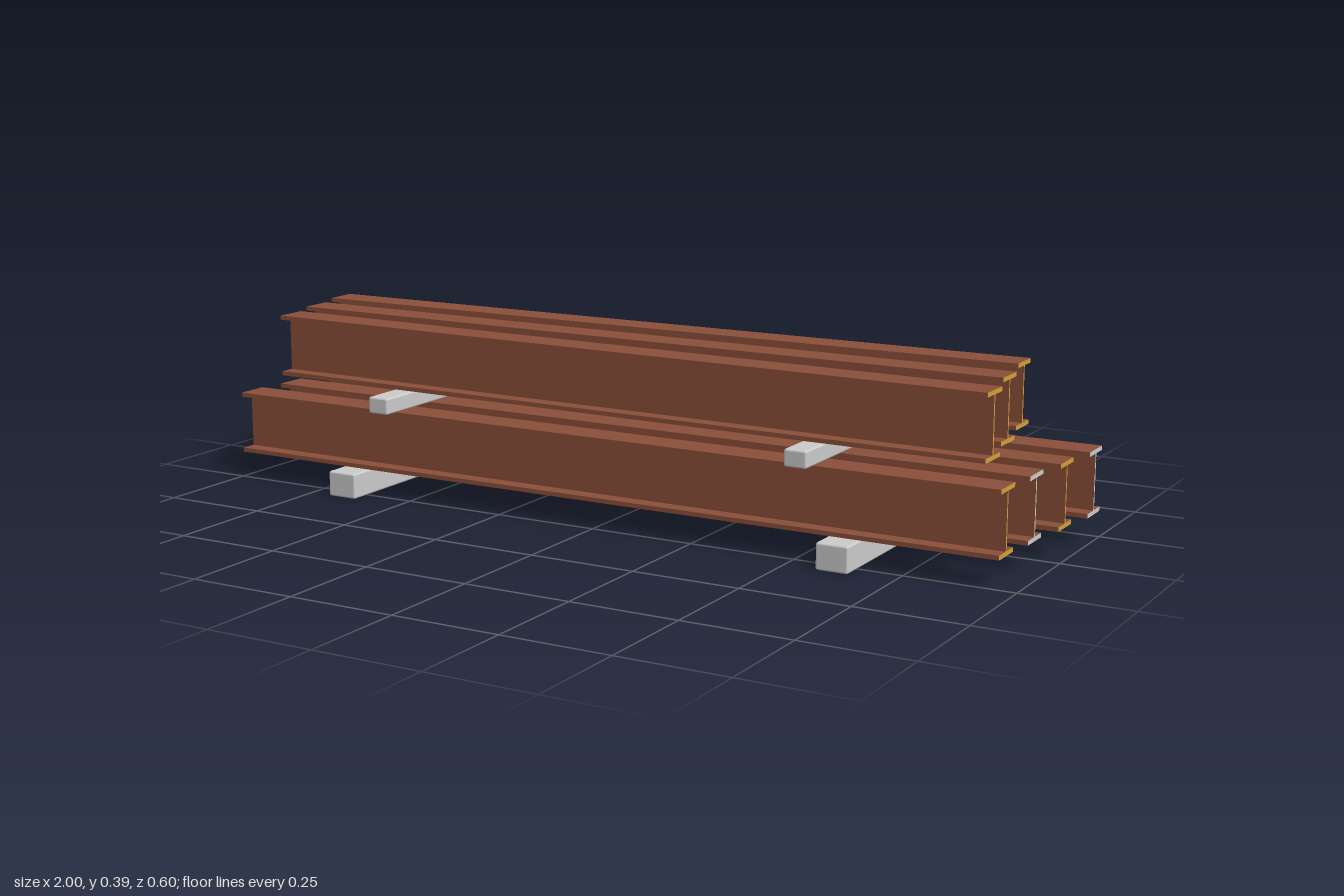
import * as THREE from 'three';
import { RoundedBoxGeometry } from 'three/addons/geometries/RoundedBoxGeometry.js';

const HEIGHT = 0.147, WIDTH = 0.077, FLANGE = 0.01, WEB = 0.005;

const rust = new THREE.MeshStandardMaterial({ color: 0x8b4f3a });
const yellow = new THREE.MeshStandardMaterial({ color: 0xd4a038 });
const grey = new THREE.MeshStandardMaterial({ color: 0xcccccc });

// I-section outline standing on y = 0
function sectionShape() {
  const w = WIDTH / 2, t = WEB / 2, top = HEIGHT - FLANGE;
  const right = [[w, 0], [w, FLANGE], [t, FLANGE], [t, top], [w, top], [w, HEIGHT]];
  const left = right.map(([x, y]) => [-x, y]).reverse();
  return new THREE.Shape([...right, ...left].map(([x, y]) => new THREE.Vector2(x, y)));
}

// Beam along x between two end points, with painted end faces
function beam(name, x0, x1, z0, z1, y, endMaterial) {
  const length = Math.hypot(x1 - x0, z1 - z0);
  const geometry = new THREE.ExtrudeGeometry(sectionShape(), { depth: length, bevelEnabled: false });
  geometry.translate(0, 0, -length / 2).rotateY(Math.PI / 2);
  const mesh = new THREE.Mesh(geometry, [endMaterial, rust]);
  mesh.name = name;
  mesh.rotation.y = -Math.atan2(z1 - z0, x1 - x0);
  mesh.position.set((x0 + x1) / 2, y, (z0 + z1) / 2);
  return mesh;
}

// Timber lying along z, resting on height y
function timber(name, x, y, width, height, length) {
  const mesh = new THREE.Mesh(new RoundedBoxGeometry(width, height, length, 2, 0.005), grey);
  mesh.name = name;
  mesh.position.set(x, y + height / 2, 0);
  return mesh;
}

export function createModel() {
  const model = new THREE.Group();
  model.name = 'beamStack';

  // Ground sleepers and the thinner spacers between layers
  for (const x of [-0.658, 0.612]) model.add(timber('sleeper', x, 0, 0.075, 0.06, 0.604));
  for (const x of [-0.561, 0.515]) model.add(timber('spacer', x, 0.207, 0.053, 0.039, 0.566));

  // Lower layer: four parallel beams, each shifted a little lengthwise
  const lower = [
    [0.205, -1, 0.957, yellow],
    [0.069, -0.99, 0.967, grey],
    [-0.068, -0.973, 0.984, yellow],
    [-0.205, -0.957, 1, grey],
  ];
  for (const [z, x0, x1, paint] of lower) model.add(beam('lowerBeam', x0, x1, z, z, 0.06, paint));

  // Upper layer: a straight middle beam between two slightly skewed ones
  model.add(beam('upperBeamFront', -0.926, 0.906, 0.1385, 0.164, 0.246, yellow));
  model.add(beam('upperBeamMiddle', -0.957, 0.875, 0, 0, 0.246, yellow));
  model.add(beam('upperBeamBack', -0.987, 0.845, -0.1385, -0.164, 0.246, yellow));

  return model;
}
